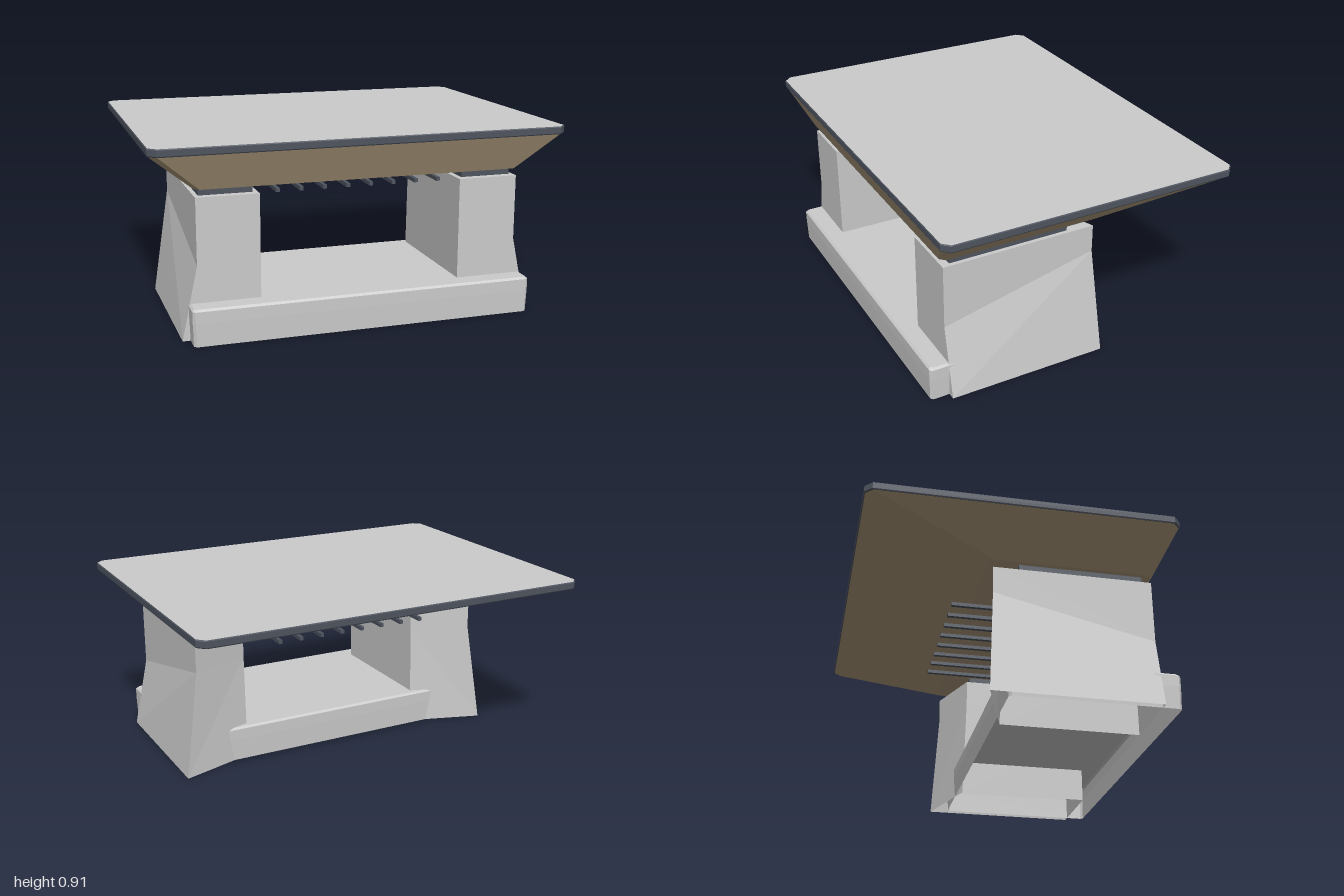
import * as THREE from 'three';

const grey = new THREE.MeshStandardMaterial({ color: 0xcccccc, flatShading: true });
const shellGrey = new THREE.MeshStandardMaterial({ color: 0xcccccc, flatShading: true, side: THREE.DoubleSide });
const wood = new THREE.MeshStandardMaterial({ color: 0xb09c7e, flatShading: true });
const slate = new THREE.MeshStandardMaterial({ color: 0x4e545f, flatShading: true });

// Rectangle with cut corners at height y, counterclockwise seen from above
function cutRect(y, x, zFront, zBack, c) {
  return [
    [-x + c, y, zFront], [x - c, y, zFront], [x, y, zFront - c], [x, y, zBack + c],
    [x - c, y, zBack], [-x + c, y, zBack], [-x, y, zBack + c], [-x, y, zFront - c],
  ];
}

// Skin rings of points from bottom to top, with optional end caps
function loft(rings, { bottom = true, top = true } = {}) {
  const n = rings[0].length;
  const index = [];
  for (let r = 0; r < rings.length - 1; r++) {
    for (let i = 0; i < n; i++) {
      const j = (i + 1) % n;
      const a = r * n + i, b = r * n + j, c = b + n, d = a + n;
      index.push(a, b, c, a, c, d);
    }
  }
  const last = (rings.length - 1) * n;
  for (let i = 1; i < n - 1; i++) {
    if (bottom) index.push(0, i + 1, i);
    if (top) index.push(last, last + i, last + i + 1);
  }
  const indexed = new THREE.BufferGeometry();
  indexed.setAttribute('position', new THREE.Float32BufferAttribute(rings.flat(2), 3));
  indexed.setIndex(index);
  const geometry = indexed.toNonIndexed();
  geometry.computeVertexNormals();
  return geometry;
}

function add(parent, name, geometry, material) {
  const mesh = new THREE.Mesh(geometry, material);
  mesh.name = name;
  parent.add(mesh);
  return mesh;
}

function box(parent, name, material, [x0, x1], [y0, y1], [z0, z1]) {
  const mesh = add(parent, name, new THREE.BoxGeometry(x1 - x0, y1 - y0, z1 - z0), material);
  mesh.position.set((x0 + x1) / 2, (y0 + y1) / 2, (z0 + z1) / 2);
  return mesh;
}

export function createModel() {
  const model = new THREE.Group();
  model.name = 'table';

  // Table top: dark edge band with a grey surface
  add(model, 'topEdge', loft([
    cutRect(0.872, 0.997, 0.742, -0.742, 0.035),
    cutRect(0.877, 1, 0.745, -0.745, 0.035),
    cutRect(0.905, 1, 0.745, -0.745, 0.035),
    cutRect(0.91, 0.997, 0.742, -0.742, 0.035),
  ], { top: false }), slate);
  add(model, 'topSurface', loft([
    cutRect(0.909, 0.997, 0.742, -0.742, 0.035),
    cutRect(0.91, 0.997, 0.742, -0.742, 0.035),
  ], { bottom: false }), grey);

  // Tapered wooden underside, sloping further at the back
  add(model, 'woodenUnderside', loft([
    cutRect(0.702, 0.79, 0.66, -0.14, 0.025),
    cutRect(0.872, 0.995, 0.74, -0.74, 0.035),
  ]), wood);

  // Hollow base tray, open below
  add(model, 'baseTray', loft([
    cutRect(0, 0.823, 0.742, -0.057, 0.012),
    cutRect(0.11, 0.827, 0.745, -0.06, 0.012),
    cutRect(0.165, 0.827, 0.745, -0.06, 0.012),
    cutRect(0.175, 0.817, 0.735, -0.05, 0.012),
  ], { bottom: false }), shellGrey);

  // Flared legs with slanted backs, open below, and their spacers
  for (const side of [1, -1]) {
    const leg = new THREE.Group();
    leg.name = side > 0 ? 'leftLeg' : 'rightLeg';
    leg.scale.x = side;
    model.add(leg);
    add(leg, 'legShell', loft([
      [[0.49, 0, 0.65], [0.86, 0, 0.65], [0.86, 0, -0.15], [0.49, 0, -0.03]],
      [[0.49, 0.35, 0.65], [0.785, 0.35, 0.65], [0.785, 0.53, -0.12], [0.49, 0.53, -0.01]],
      [[0.49, 0.665, 0.65], [0.785, 0.665, 0.65], [0.785, 0.665, -0.12], [0.49, 0.665, -0.01]],
    ], { bottom: false }), shellGrey);
    box(leg, 'spacer', slate, [0.515, 0.765], [0.663, 0.704], [0.01, 0.61]);
  }

  // Row of rods under the top
  for (let i = 0; i < 8; i++) {
    const x = -0.395 + (i * 0.79) / 7;
    box(model, 'rod', slate, [x - 0.009, x + 0.009], [0.655, 0.673], [-0.25, 0.61]);
  }

  return model;
}
